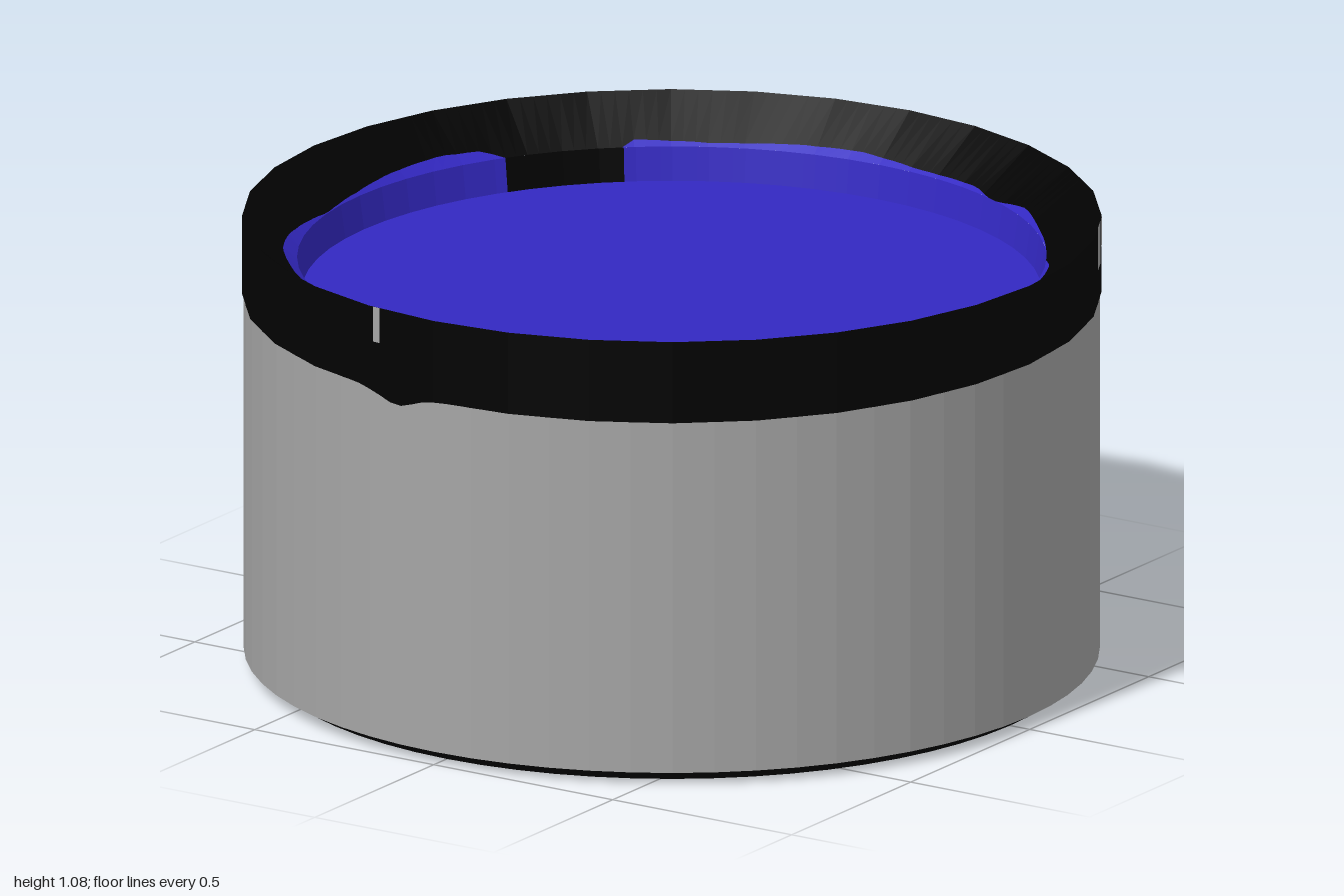
import * as THREE from 'three';

const STEPS = 192; // multiple of both side counts, 32 and 64
const TAU = Math.PI * 2;
const DEG = TAU / 360;

function material(name, color) {
  const m = new THREE.MeshStandardMaterial({ color });
  m.name = name;
  return m;
}

// Radius factor of a regular polygon at angle a
function poly(a, sides) {
  const s = TAU / sides;
  const k = ((a % s) + s) % s;
  return Math.cos(s / 2) / Math.cos(k - s / 2);
}

// Linear interpolation around the circle through [degrees, value] pairs, starting at 0
function around(points) {
  const closed = [...points, [360, points[0][1]]];
  return (a) => {
    const d = ((a / DEG) % 360 + 360) % 360;
    const i = closed.findIndex((p) => p[0] > d);
    const [d0, v0] = closed[i - 1], [d1, v1] = closed[i];
    return v0 + ((v1 - v0) * (d - d0)) / (d1 - d0);
  };
}

// Flat-shaded band between two edges, each a function angle -> [radius, y]
function band(name, mat, from, to, d0 = 0, d1 = 360) {
  const n = Math.max(1, Math.round((STEPS * (d1 - d0)) / 360));
  const pos = [];
  const put = (edge, a) => {
    const [r, y] = edge(a);
    pos.push(r * Math.cos(a), y, r * Math.sin(a));
  };
  for (let i = 0; i < n; i++) {
    const a = DEG * (d0 + ((d1 - d0) * i) / n);
    const b = DEG * (d0 + ((d1 - d0) * (i + 1)) / n);
    put(from, a); put(to, a); put(from, b);
    put(to, a); put(to, b); put(from, b);
  }
  const g = new THREE.BufferGeometry();
  g.setAttribute('position', new THREE.Float32BufferAttribute(pos, 3));
  g.computeVertexNormals();
  const mesh = new THREE.Mesh(g, mat);
  mesh.name = name;
  return mesh;
}

export function createModel() {
  const group = new THREE.Group();
  group.name = 'roundContainer';
  const black = material('black', 0x020202);
  const grey = material('grey', 0xa5a5a5);
  const paleGrey = material('paleGrey', 0xd8d8d8);
  const blue = material('blue', 0x3328c2);

  const ring = (r, y, sides) => (a) => [r * poly(a, sides), y];
  const TOP = 1.08, LEDGE_R = 0.872, LEDGE_Y = 0.98, FLOOR_R = 0.86, FLOOR_Y = 0.9;

  // Uneven lower edge of the black rim, with one drip at the front
  const rimY = (a) => {
    const x = Math.cos(a), z = Math.sin(a);
    const drip = z > 0 ? 0.03 * Math.exp(-(((x + 0.11) / 0.065) ** 2)) : 0;
    return 0.893 - 0.01 * z - 0.004 * x - drip;
  };

  // Uneven inner edge of the black rim on the sloping lip
  const edgeR = around([
    [0, 0.872], [4, 0.885], [13, 0.902], [22, 0.905], [29, 0.9], [37, 0.887], [46, 0.875],
    [55, 0.868], [64, 0.885], [72, 0.885], [87, 0.882], [90, 0.868], [103, 0.885],
    [110, 0.882], [117, 0.887], [124, 0.9], [130, 0.89], [145, 0.905], [153, 0.898],
    [170, 0.872], [180, 0.88], [190, 0.893], [200, 0.9], [207, 0.893], [210, 0.87],
    [229, 0.87], [230, 0.888], [243, 0.88], [257, 0.89], [266, 0.892], [277, 0.88],
    [290, 0.882], [295, 0.868], [304, 0.89], [313, 0.878], [328, 0.87], [333, 0.885],
    [340, 0.884], [347, 0.882],
  ]);
  const lipEdge = (a) => {
    const outer = poly(a, 32);
    const inner = LEDGE_R * poly(a, 64);
    const r = Math.max(edgeR(a), inner);
    return [r, LEDGE_Y + ((TOP - LEDGE_Y) * (r - inner)) / (outer - inner)];
  };

  // Uneven border of the underside disc
  const baseR = around([
    [0, 0.942], [45, 0.93], [70, 0.938], [85, 0.887], [95, 0.895], [115, 0.925],
    [130, 0.938], [185, 0.935], [215, 0.93], [271, 0.938], [286, 0.88], [295, 0.87],
    [302, 0.89], [308, 0.93], [312, 0.9], [325, 0.9], [346, 0.938],
  ]);
  const baseEdge = (a) => [baseR(a), 0];
  const wallTop = (a) => [0.996 * poly(a, 64), rimY(a)];
  const rimBottom = (a) => [poly(a, 32), rimY(a)];

  // Underside, bevel and wall
  group.add(
    band('baseDisc', paleGrey, () => [0, 0], baseEdge),
    band('baseBorder', black, baseEdge, ring(0.945, 0, 64)),
    band('baseBevel', black, ring(0.945, 0, 64), ring(0.996, 0.03, 64)),
    band('wall', grey, ring(0.996, 0.03, 64), wallTop),
  );

  // Bare slivers along the top of the bevel: start, end, share of the bevel height
  for (const [d0, d1, share] of [[339, 348, 0.5], [278, 293, 0.25]]) {
    const top = ring(0.997, 0.0295, 64);
    const tip = (a) => {
      const t = share * Math.sin((Math.PI * (a / DEG - d0)) / (d1 - d0));
      return [(0.997 - 0.051 * t) * poly(a, 64), 0.0295 - 0.03 * t];
    };
    group.add(band('bevelSliver', grey, tip, top, d0, d1));
  }

  // Black rim and sloping lip
  group.add(
    band('rimUnderside', black, wallTop, rimBottom),
    band('rim', black, rimBottom, ring(1, TOP, 32)),
    band('rimLip', black, ring(1, TOP, 32), lipEdge),
    band('innerLip', blue, lipEdge, ring(LEDGE_R, LEDGE_Y, 64)),
  );

  // Recessed inside, with a black patch on its short wall
  const ledge = ring(LEDGE_R, LEDGE_Y, 64), floorEdge = ring(FLOOR_R, FLOOR_Y, 64);
  group.add(
    band('innerWall', blue, ledge, floorEdge, 229, 570),
    band('innerWallPatch', black, ledge, floorEdge, 210, 229),
    band('insideFloor', blue, floorEdge, () => [0, FLOOR_Y]),
  );

  // Small grey chips on the rim: start angle, end angle, lower edge
  const chips = [
    [99.3, 100.4, 0.995], [328.4, 331.8, 0.975], [326.25, 327.5, 1.01], [324.2, 326.25, 1.0],
  ];
  for (const [d0, d1, y] of chips) {
    const skin = (h) => (a) => [poly(a, 32) + 0.001, h];
    group.add(band('rimChip', grey, skin(y), skin(TOP), d0, d1));
  }
  return group;
}
